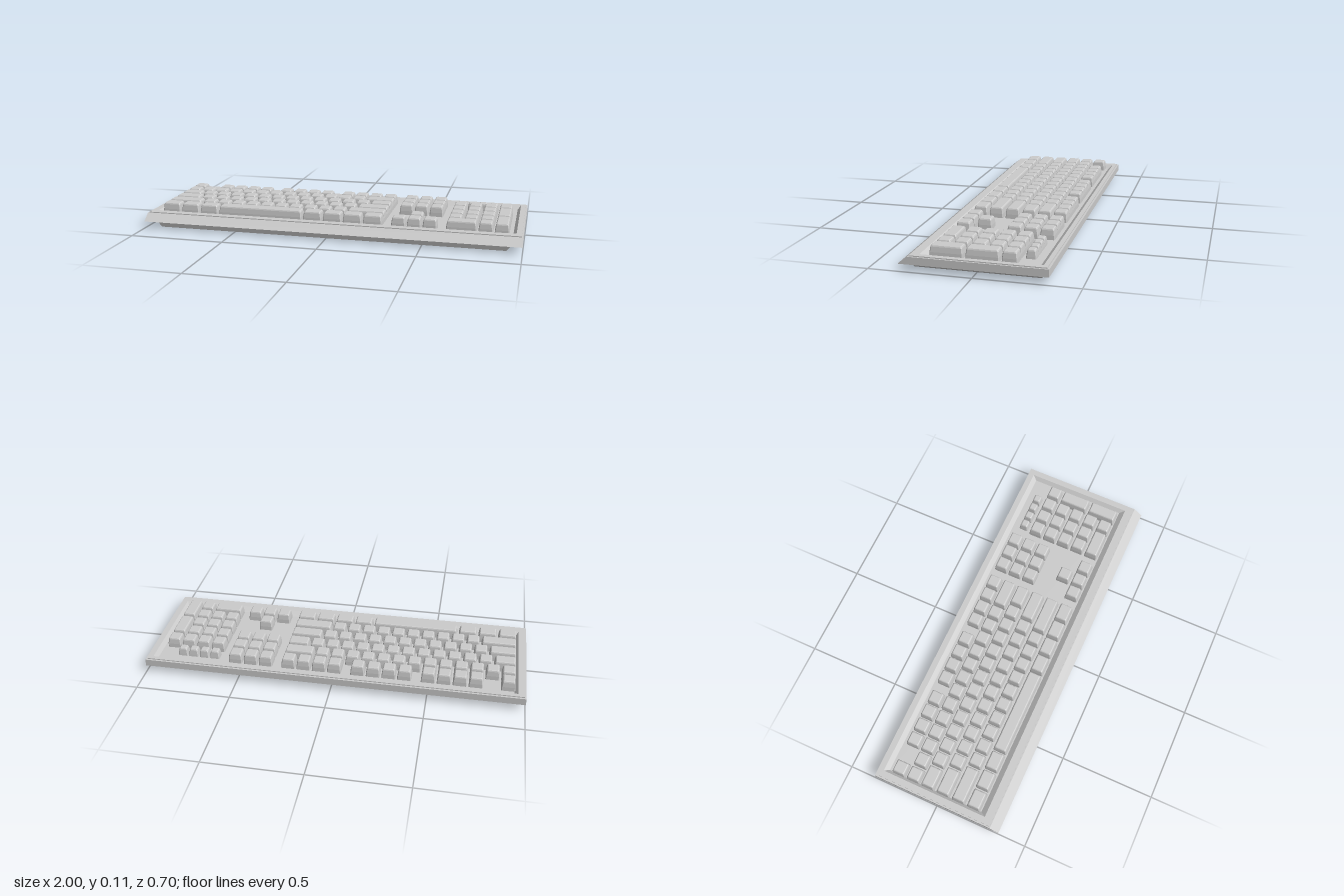
import * as THREE from 'three';

const material = new THREE.MeshStandardMaterial({ color: 0xcccccc, flatShading: true });

// Horizontal rectangle at height y, optionally with cut corners, counter-clockwise from above
function ring(x0, x1, z0, z1, y, c = 0) {
  const p = c > 0
    ? [[x0 + c, z0], [x0, z0 + c], [x0, z1 - c], [x0 + c, z1],
       [x1 - c, z1], [x1, z1 - c], [x1, z0 + c], [x1 - c, z0]]
    : [[x0, z0], [x0, z1], [x1, z1], [x1, z0]];
  return p.map(([x, z]) => [x, y, z]);
}

// Skin a stack of rings and close both ends
function loft(rings, capBottom = true) {
  const pos = [];
  const tri = (a, b, c) => pos.push(...a, ...b, ...c);
  const n = rings[0].length;
  for (let i = 0; i + 1 < rings.length; i++) {
    const lo = rings[i], hi = rings[i + 1];
    for (let k = 0; k < n; k++) {
      const m = (k + 1) % n;
      tri(lo[k], lo[m], hi[m]);
      tri(lo[k], hi[m], hi[k]);
    }
  }
  const first = rings[0], last = rings[rings.length - 1];
  for (let k = 1; k + 1 < n; k++) {
    tri(last[0], last[k], last[k + 1]);
    if (capBottom) tri(first[0], first[k + 1], first[k]);
  }
  const g = new THREE.BufferGeometry();
  g.setAttribute('position', new THREE.Float32BufferAttribute(pos, 3));
  g.computeVertexNormals();
  return g;
}

function part(parent, name, geometry) {
  const mesh = new THREE.Mesh(geometry, material);
  mesh.name = name;
  parent.add(mesh);
  return mesh;
}

const FLOOR = 0.058;   // recessed plate under the keys
const UNIT = 0.082;    // key pitch
const GAP = 0.009;     // space between keys
const DEPTH = 0.074;
const ROWS = [-0.241, -0.158, -0.075, 0.013, 0.1, 0.186];

// Tapered keycap with a rounded top edge: [inset, distance below the top]
function keycap(parent, name, x, z, w, d, top = 0.114) {
  const section = [[0, top - FLOOR], [0.001, 0.034], [0.0045, 0.009], [0.007, 0.003], [0.011, 0]];
  const mesh = part(parent, name, loft(section.map(([s, drop]) =>
    ring(-w / 2 + s, w / 2 - s, -d / 2 + s, d / 2 - s, top - drop, 0.004))));
  mesh.position.set(x, 0, z);
}

// Row of keys from a list of widths in units; negative widths are empty space
function keyRow(parent, name, startX, z, widths) {
  let x = startX;
  for (const u of widths) {
    const w = Math.abs(u) * UNIT;
    if (u > 0) keycap(parent, name, x + w / 2, z, w - GAP, DEPTH);
    x += w;
  }
}

const ones = (n) => Array(n).fill(1);

export function createModel() {
  const model = new THREE.Group();
  model.name = 'keyboard';

  // Tapered foot under the case
  part(model, 'base', loft([
    ring(-0.92, 0.92, -0.303, 0.303, 0),
    ring(-0.95, 0.95, -0.312, 0.312, 0.038),
  ]));

  // Case with sloped front, thin raised rim and recessed key plate
  part(model, 'case', loft([
    ring(-1, 1, -0.352, 0.352, 0.037),
    ring(-1, 1, -0.352, 0.305, 0.074),
    ring(-0.992, 0.992, -0.342, 0.3, 0.074),
    ring(-0.992, 0.992, -0.342, 0.3, 0.079),
    ring(-0.958, 0.965, -0.32, 0.258, 0.079),
    ring(-0.94, 0.948, -0.296, 0.23, FLOOR),
  ]));

  // Main typing block
  const main = new THREE.Group();
  main.name = 'mainKeys';
  const left = -0.95;
  const layout = [
    [1, -1, ...ones(4), -0.5, ...ones(4), -0.5, ...ones(4)],
    [...ones(13), 2],
    [1.5, ...ones(12), 1.5],
    [1.85, ...ones(11), 2.15],
    [2.4, ...ones(10), 2.6],
    [1.32, 1.32, 1.32, 5.76, 1.32, 1.32, 1.32, 1.32],
  ];
  layout.forEach((widths, i) =>
    keyRow(main, i === 0 ? 'functionKey' : 'mainKey', left, ROWS[i], widths));
  model.add(main);

  // Navigation block and arrows
  const nav = new THREE.Group();
  nav.name = 'navigationKeys';
  const navX = 0.321;
  for (let i = 0; i < 3; i++) keyRow(nav, 'navigationKey', navX, ROWS[i], ones(3));
  keyRow(nav, 'arrowKey', navX, ROWS[4], [-1, 1]);
  keyRow(nav, 'arrowKey', navX, ROWS[5], ones(3));
  model.add(nav);

  // Number pad with two double-height keys on its right column
  const pad = new THREE.Group();
  pad.name = 'numberPad';
  const padX = 0.605;
  const padRows = [-0.154, -0.07, 0.015, 0.1, 0.186];
  padRows.forEach((z, i) =>
    keyRow(pad, 'numberKey', padX, z, i === 0 ? ones(4) : i === 4 ? [2, 1] : ones(3)));
  for (const z of [-0.026, 0.146]) {
    keycap(pad, 'tallKey', padX + 3.5 * UNIT, z, UNIT - GAP, 0.16);
  }
  // Small media keys above the pad
  for (let i = 0; i < 4; i++) keycap(pad, 'smallKey', 0.646 + i * 0.0585, -0.233, 0.052, 0.05, 0.102);
  model.add(pad);

  return model;
}
